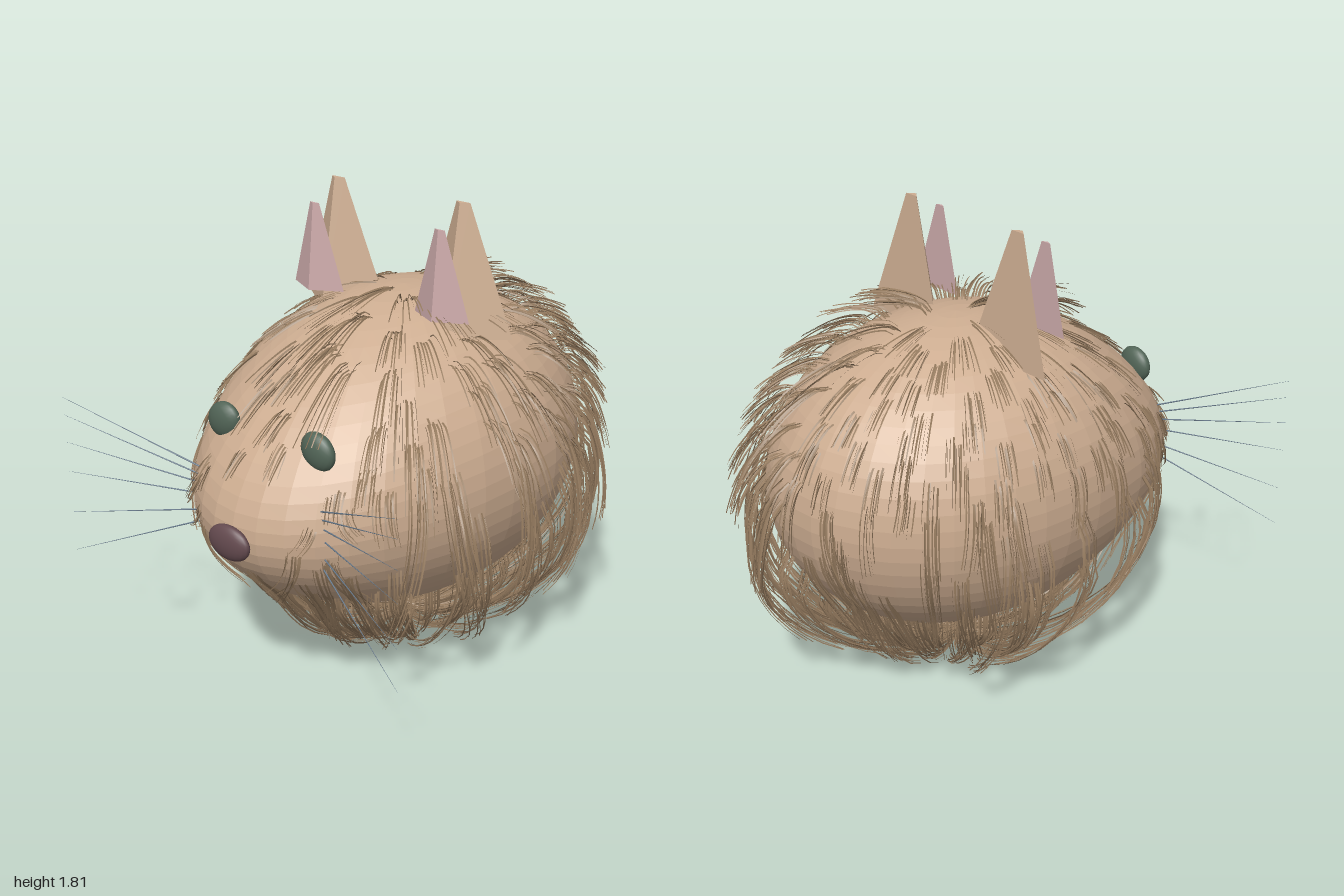
import * as THREE from 'three';

const mat = (name, color, opts = {}) => new THREE.MeshStandardMaterial({ name, color, ...opts });
const { lerp, smoothstep, clamp } = THREE.MathUtils;

// Seeded random numbers in 0..1
function seeded(seed) {
  return () => {
    seed = (seed * 1664525 + 1013904223) % 4294967296;
    return seed / 4294967296;
  };
}

// Point on the egg-shaped body; r > 1 floats above the skin
function shell(dx, dy, dz, r = 1) {
  const t = clamp(dz, 0, 1) ** 2;
  return new THREE.Vector3(
    0.635 * dx * r,
    0.85 - 0.07 * t + 0.61 * dy * r * (1 - 0.24 * t),
    -0.1 + dz * r * (dz > 0 ? 0.97 : 0.78)
  );
}
const shellAt = (theta, phi, r) =>
  shell(Math.sin(phi) * Math.sin(theta), Math.cos(phi), Math.sin(phi) * Math.cos(theta), r);

function makeBody(material) {
  const g = new THREE.SphereGeometry(1, 40, 32);
  const p = g.attributes.position;
  for (let i = 0; i < p.count; i++) {
    const v = shell(p.getX(i), p.getY(i), p.getZ(i));
    p.setXYZ(i, v.x, v.y, v.z);
  }
  g.computeVertexNormals();
  return new THREE.Mesh(g, material);
}

// Tufts of thin tapered ribbons that lift off the skin and droop along meridians
function makeFur(material) {
  const rnd = seeded(77);
  const pos = [], index = [];
  const TUFTS = 340, STRANDS = 9, SEGS = 10;
  for (let i = 0; i < TUFTS; i++) {
    const theta = i * 2.39996 + (rnd() - 0.5) * 0.2;
    const phi0 = Math.acos(1 - 1.93 * (i + 0.5) / TUFTS);
    const dz = Math.sin(phi0) * Math.cos(theta);
    const low = smoothstep(phi0, 1.2, 1.6);
    const face = smoothstep(dz, 0.5, 0.85);
    // Thin out the lower rows, and keep the eyes and nose clear
    if (phi0 < 2.3 && rnd() < low * 0.5) continue;
    const root = shellAt(theta, phi0, 1);
    if (root.z > 0.4 && Math.abs(Math.abs(root.x) - 0.22) < 0.12 && Math.abs(root.y - 1.14) < 0.15) continue;
    if (root.z > 0.6 && Math.abs(root.x) < 0.16 && Math.abs(root.y - 0.82) < 0.16) continue;
    // The left half is fluffed up; the right lies flat except beside the ears
    const s0 = Math.sin(theta);
    const puff = Math.max(smoothstep(s0, -0.12, 0.12), low * smoothstep(-s0, 0.75, 0.92)) * (1 - face);
    const lift = lerp(0.02, lerp(0.17, 0.24, low), puff) * (0.85 + rnd() * 0.3);
    const length = lerp(lerp(0.3, 1.25, low), 0.2, face * (1 - smoothstep(phi0, 1.5, 1.8)))
      * lerp(0.75, 1, puff) * (0.8 + rnd() * 0.4);
    const lastPhi = 2.9 + rnd() * 0.45;
    const sway = (rnd() - 0.5) * 0.6 * low;
    const spread = 0.055 / Math.max(0.12, 0.7 * Math.sin(phi0));
    for (let s = 0; s < STRANDS; s++) {
      const th0 = theta + (s / (STRANDS - 1) - 0.5) * spread + (rnd() - 0.5) * 0.02;
      const start = phi0 + (rnd() - 0.5) * 0.06;
      const end = Math.min(start + length * (0.85 + rnd() * 0.3), lastPhi);
      const jitter = (rnd() - 0.5) * 0.04, twist = rnd() * Math.PI;
      const base = pos.length / 3;
      for (let k = 0; k <= SEGS; k++) {
        const u = k / SEGS;
        const phi = lerp(start, end, u), th = th0 + sway * u * u;
        const side = lift + 0.11 * puff * smoothstep(phi, 1.5, 2.2);
        const rise = lerp(side, 0.33, smoothstep(phi, 2.1, 2.9));
        const r = 0.995 + rise * u ** 0.5 + jitter * (0.3 + u);
        const c = shellAt(th, phi, r);
        const out = shellAt(th, phi, r + 0.1).sub(c).normalize();
        const w = new THREE.Vector3(Math.cos(th), 0, -Math.sin(th))
          .multiplyScalar(Math.cos(twist)).addScaledVector(out, Math.sin(twist))
          .multiplyScalar(0.004 * (1 - 0.5 * u));
        pos.push(c.x - w.x, c.y - w.y, c.z - w.z, c.x + w.x, c.y + w.y, c.z + w.z);
        if (k < SEGS) {
          const a = base + 2 * k;
          index.push(a, a + 1, a + 2, a + 1, a + 3, a + 2);
        }
      }
    }
  }
  const g = new THREE.BufferGeometry();
  g.setAttribute('position', new THREE.Float32BufferAttribute(pos, 3));
  g.setIndex(index);
  g.computeVertexNormals();
  return new THREE.Mesh(g, material);
}

// Straight tapering whisker between two points
function makeWhisker(from, to, material) {
  const dir = to.clone().sub(from);
  const mesh = new THREE.Mesh(new THREE.CylinderGeometry(0.0004, 0.003, dir.length(), 12), material);
  mesh.position.copy(from).addScaledVector(dir, 0.5);
  mesh.quaternion.setFromUnitVectors(new THREE.Vector3(0, 1, 0), dir.normalize());
  return mesh;
}

export function createModel() {
  const model = new THREE.Group();
  model.name = 'furryCatHead';
  const skin = mat('tan skin', 0xcdad91, { flatShading: true });
  const pink = mat('ear pink', 0xcaa8a8, { flatShading: true });
  const green = mat('eye green', 0x526557);
  const plum = mat('nose plum', 0x644a4f);
  const hair = mat('light brown fur', 0x957b5f, { side: THREE.DoubleSide });
  const wire = mat('whisker grey', 0x66788a);

  const add = (name, mesh) => {
    mesh.name = name;
    model.add(mesh);
    return mesh;
  };
  add('body', makeBody(skin));
  add('fur', makeFur(hair));

  // Nose
  const ball = new THREE.SphereGeometry(1, 20, 14);
  const nose = add('nose', new THREE.Mesh(ball, plum));
  nose.scale.set(0.095, 0.067, 0.032);
  nose.position.set(0, 0.77, 0.885);

  // Three-sided blunt pyramids with one ridge facing forward
  const outerEar = new THREE.CylinderGeometry(0.035, 0.228, 0.49, 3);
  const innerEar = new THREE.CylinderGeometry(0.025, 0.14, 0.33, 3);

  for (const side of [1, -1]) {
    const label = side > 0 ? 'left' : 'right';
    const ear = add(label + 'Ear', new THREE.Mesh(outerEar, skin));
    ear.scale.z = 0.45;
    ear.position.set(side * 0.29, 1.585, -0.06);
    const inner = add(label + 'InnerEar', new THREE.Mesh(innerEar, pink));
    inner.scale.z = 0.3;
    inner.position.set(side * 0.29, 1.595, 0.075);

    // Eyes
    const eye = add(label + 'Eye', new THREE.Mesh(ball, green));
    eye.scale.set(0.075, 0.067, 0.036);
    eye.rotation.z = -side * 0.65;
    eye.position.set(side * 0.222, 1.1, 0.66);

    // Whiskers: rootY, tipY
    for (const [y0, y1] of [[0.91, 1.13], [0.88, 1.06], [0.85, 0.95], [0.81, 0.83], [0.75, 0.66], [0.71, 0.5]]) {
      add(label + 'Whisker', makeWhisker(
        new THREE.Vector3(side * 0.27, y0, 0.72),
        new THREE.Vector3(side * 0.78, y1, 0.93), wire));
    }
  }
  return model;
}
